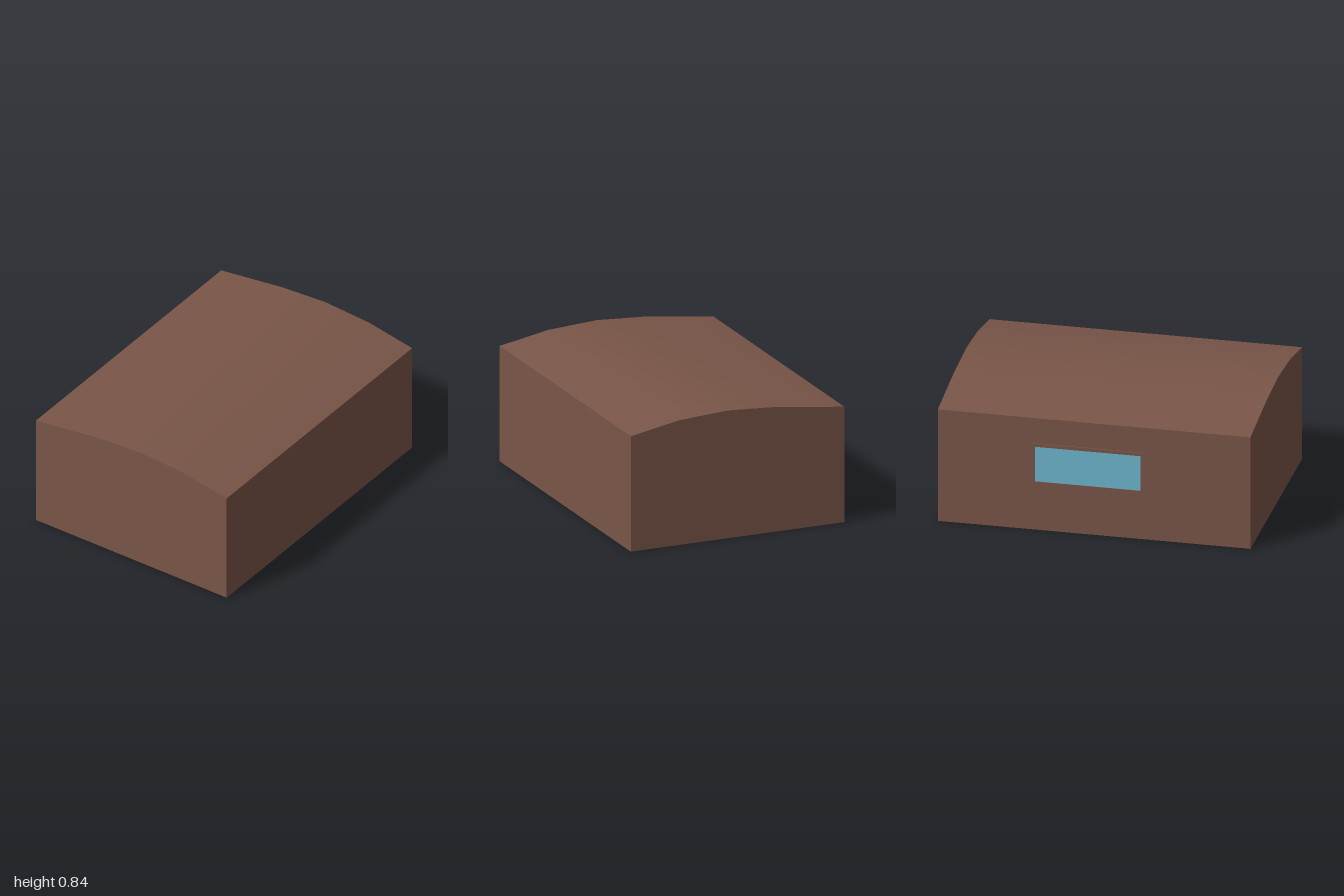
import * as THREE from 'three';
import { toCreasedNormals } from 'three/addons/utils/BufferGeometryUtils.js';

const brown = new THREE.MeshStandardMaterial({ color: 0x795548 });
brown.name = 'brown wall';
const blue = new THREE.MeshStandardMaterial({ color: 0x6cb6cd });
blue.name = 'blue glass';

const LEFT = -0.727, RIGHT = 0.733;

function part(name, geometry, material) {
  const mesh = new THREE.Mesh(geometry, material);
  mesh.name = name;
  return mesh;
}

function rect(path, w, h) {
  return path.moveTo(-w / 2, -h / 2).lineTo(w / 2, -h / 2).lineTo(w / 2, h / 2).lineTo(-w / 2, h / 2).closePath();
}

export function createModel() {
  const model = new THREE.Group();
  model.name = 'building';

  // Hall with a shallow arched roof, extruded along z
  const profile = new THREE.Shape([
    [LEFT, 0], [RIGHT, 0], [RIGHT, 0.757], [0.4, 0.818],
    [0.07, 0.838], [-0.255, 0.818], [LEFT, 0.757],
  ].map(([x, y]) => new THREE.Vector2(x, y)));
  const hall = new THREE.ExtrudeGeometry(profile, { depth: 2, bevelEnabled: false });
  hall.translate(0, 0, -1);
  model.add(part('hall', toCreasedNormals(hall, 0.4), brown));

  // Framed window on the -x wall
  const width = 0.72, height = 0.28, border = 0.022;
  const glassW = width - 2 * border, glassH = height - 2 * border;
  const outline = rect(new THREE.Shape(), width, height);
  outline.holes.push(rect(new THREE.Path(), glassW, glassH));
  const frame = new THREE.ExtrudeGeometry(outline, { depth: 0.007, bevelEnabled: false });

  const pane = part('windowGlass', new THREE.BoxGeometry(glassW, glassH, 0.003), blue);
  pane.position.z = 0.0015;

  const sideWindow = new THREE.Group();
  sideWindow.name = 'sideWindow';
  sideWindow.add(part('windowFrame', frame, brown), pane);
  sideWindow.rotation.y = -Math.PI / 2;
  sideWindow.position.set(LEFT, 0.447, -0.04);
  model.add(sideWindow);

  return model;
}
